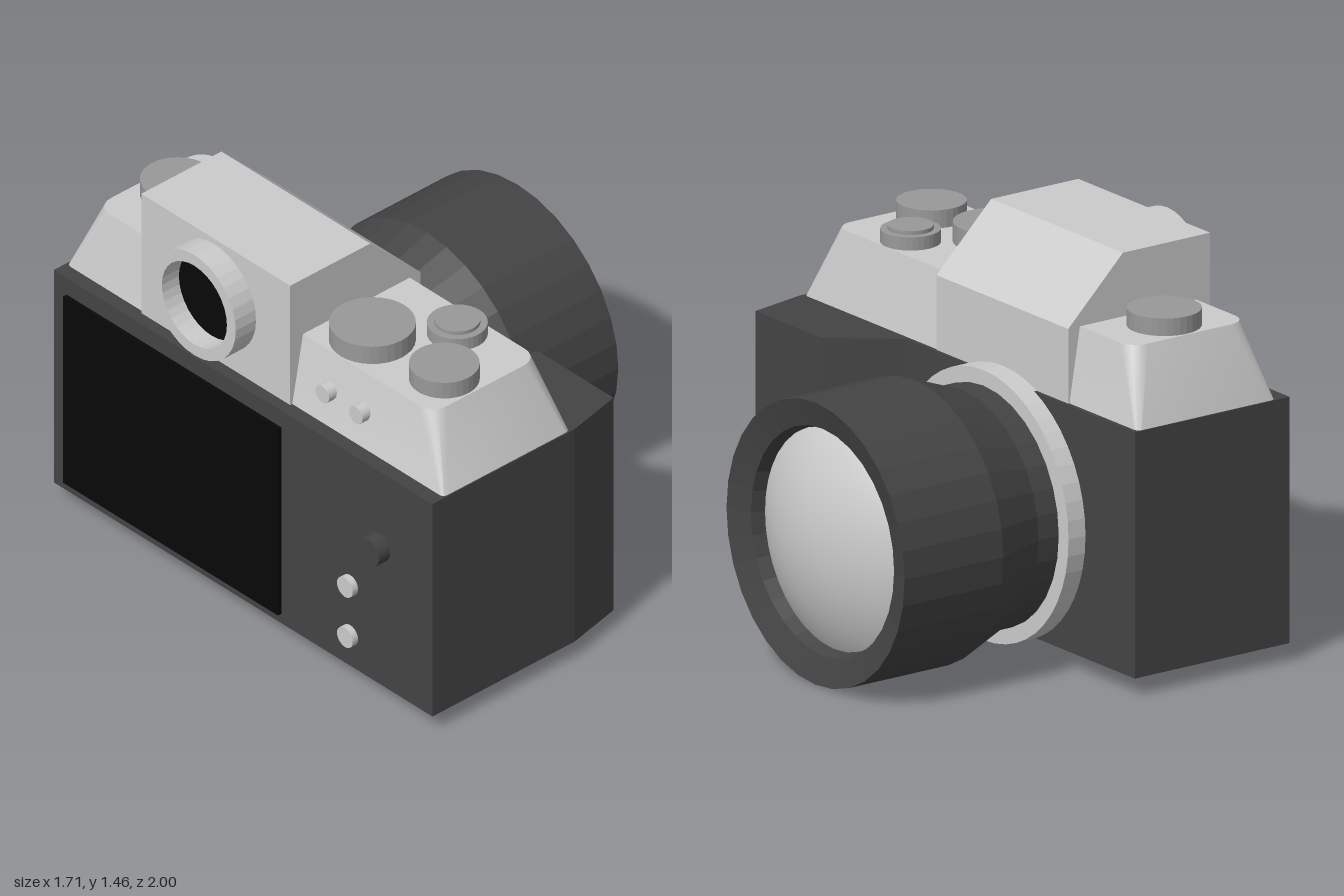
import * as THREE from 'three';
import { toCreasedNormals } from 'three/addons/utils/BufferGeometryUtils.js';

const mat = (color, flatShading = true) => new THREE.MeshStandardMaterial({ color, flatShading });
const SILVER = mat(0xcccccc), DARK = mat(0x444444), BLACK = mat(0x080808), DIAL = mat(0x999999);

export function createModel() {
  // Built facing +z, then turned at the end
  const camera = new THREE.Group();
  camera.name = 'camera';

  const add = (name, geometry, material, x = 0, y = 0, z = 0) => {
    const mesh = new THREE.Mesh(geometry, material);
    mesh.name = name;
    mesh.position.set(x, y, z);
    camera.add(mesh);
    return mesh;
  };
  const polygon = pts => new THREE.Shape(pts.map(p => new THREE.Vector2(...p)));
  const lathe = (pts, segments = 32) =>
    new THREE.LatheGeometry(pts.map(p => new THREE.Vector2(...p)), segments).rotateX(Math.PI / 2);
  // Upright disc standing on y, and disc along z between two depths
  const dial = (name, x, z, r, y0, y1, material = DIAL) =>
    add(name, new THREE.CylinderGeometry(r, r, y1 - y0, 32), material, x, (y0 + y1) / 2, z);
  const disc = (name, x, y, r, z0, z1, material, segments = 32) =>
    add(name, new THREE.CylinderGeometry(r, r, z1 - z0, segments).rotateX(Math.PI / 2), material, x, y, (z0 + z1) / 2);

  // Body with the hand grip in its footprint (x, -z)
  const footprint = polygon([
    [-1.015, 0.695], [-1.015, 0.03], [-0.967, -0.197], [-0.592, -0.197],
    [-0.404, 0.03], [0.905, 0.03], [0.905, 0.695],
  ]);
  add('body', new THREE.ExtrudeGeometry(footprint, { depth: 0.89, bevelEnabled: false })
    .rotateX(-Math.PI / 2), DARK, 0, 0.07, 0);

  // Tapered top cover
  add('topCover', taperedCover(
    { x0: -1.01, x1: 0.9, z0: -0.64, z1: -0.045, r: 0.02, y: 0.96 },
    { x0: -0.9, x1: 0.805, z0: -0.59, z1: -0.09, r: 0.07, y: 1.23 }), mat(0xcccccc, false));

  // Viewfinder hump, side profile (z, y) drawn out along x
  const hump = polygon([[-0.65, 0.96], [-0.04, 0.96], [-0.04, 1.23], [-0.275, 1.46], [-0.65, 1.46]]);
  add('viewfinderHump', new THREE.ExtrudeGeometry(hump, { depth: 0.755, bevelEnabled: false })
    .rotateY(-Math.PI / 2), SILVER, 0.51, 0, 0);

  // Eyepiece
  add('eyepieceRing', lathe([[0.165, -0.64], [0.165, -0.745], [0.21, -0.745], [0.21, -0.64]]), SILVER, 0.138, 1.228, 0);
  disc('eyepieceGlass', 0.138, 1.228, 0.17, -0.665, -0.64, BLACK);

  // Lens
  const lx = 0.134, ly = 0.513;
  disc('lensMount', lx, ly, 0.488, -0.16, 0.043, SILVER, 48);
  add('lensBarrel', lathe([
    [0.432, -0.1], [0.432, 0.13], [0.51, 0.34], [0.51, 0.765], [0.41, 0.735], [0.395, 0.68],
  ]), DARK, lx, ly, 0);
  const R = 0.74, edge = Math.asin(0.4 / R);
  add('lensGlass', new THREE.SphereGeometry(R, 40, 12, 0, Math.PI * 2, 0, edge).rotateX(Math.PI / 2),
    mat(0xcccccc, false), lx, ly, 0.8 - R);

  // Dials and shutter button on top
  dial('rewindDial', 0.668, -0.334, 0.13, 1.22, 1.293);
  dial('modeDial', -0.43, -0.436, 0.15, 1.22, 1.302);
  dial('exposureDial', -0.771, -0.414, 0.122, 1.22, 1.295);
  dial('shutterCollar', -0.602, -0.197, 0.105, 1.22, 1.278);
  dial('shutterButton', -0.602, -0.197, 0.08, 1.27, 1.292);

  // Screen and buttons on the back
  add('screen', new THREE.BoxGeometry(1.09, 0.78, 0.04), BLACK, 0.295, 0.5, -0.692);
  disc('backKnob', -0.745, 0.645, 0.056, -0.748, -0.68, DARK);
  for (const y of [0.2, 0.41]) disc('backButton', -0.598, y, 0.04, -0.72, -0.68, SILVER, 24);
  for (const x of [-0.41, -0.58]) disc('coverButton', x, 1.09, 0.034, -0.652, -0.58, SILVER, 24);

  // Turn the camera toward +x
  camera.rotation.y = THREE.MathUtils.degToRad(81.35);
  const model = new THREE.Group();
  model.add(camera);
  return model;
}

// Loft between two rounded rectangles, closed on top and bottom
function taperedCover(bottom, top) {
  const steps = 6, n = 4 * (steps + 1), pos = [], index = [];
  for (const { x0, x1, z0, z1, r, y } of [bottom, top]) {
    const corners = [[x1 - r, z0 + r], [x0 + r, z0 + r], [x0 + r, z1 - r], [x1 - r, z1 - r]];
    corners.forEach(([cx, cz], c) => {
      for (let i = 0; i <= steps; i++) {
        const a = (c + i / steps) * Math.PI / 2;
        pos.push(cx + r * Math.cos(a), y, cz - r * Math.sin(a));
      }
    });
  }
  for (let i = 0; i < n; i++) {
    const j = (i + 1) % n;
    index.push(i, j, n + j, i, n + j, n + i);
    if (i > 0 && i < n - 1) index.push(n, n + i, n + i + 1, 0, i + 1, i);
  }
  const geometry = new THREE.BufferGeometry();
  geometry.setAttribute('position', new THREE.Float32BufferAttribute(pos, 3));
  geometry.setIndex(index);
  return toCreasedNormals(geometry, Math.PI / 6);
}
